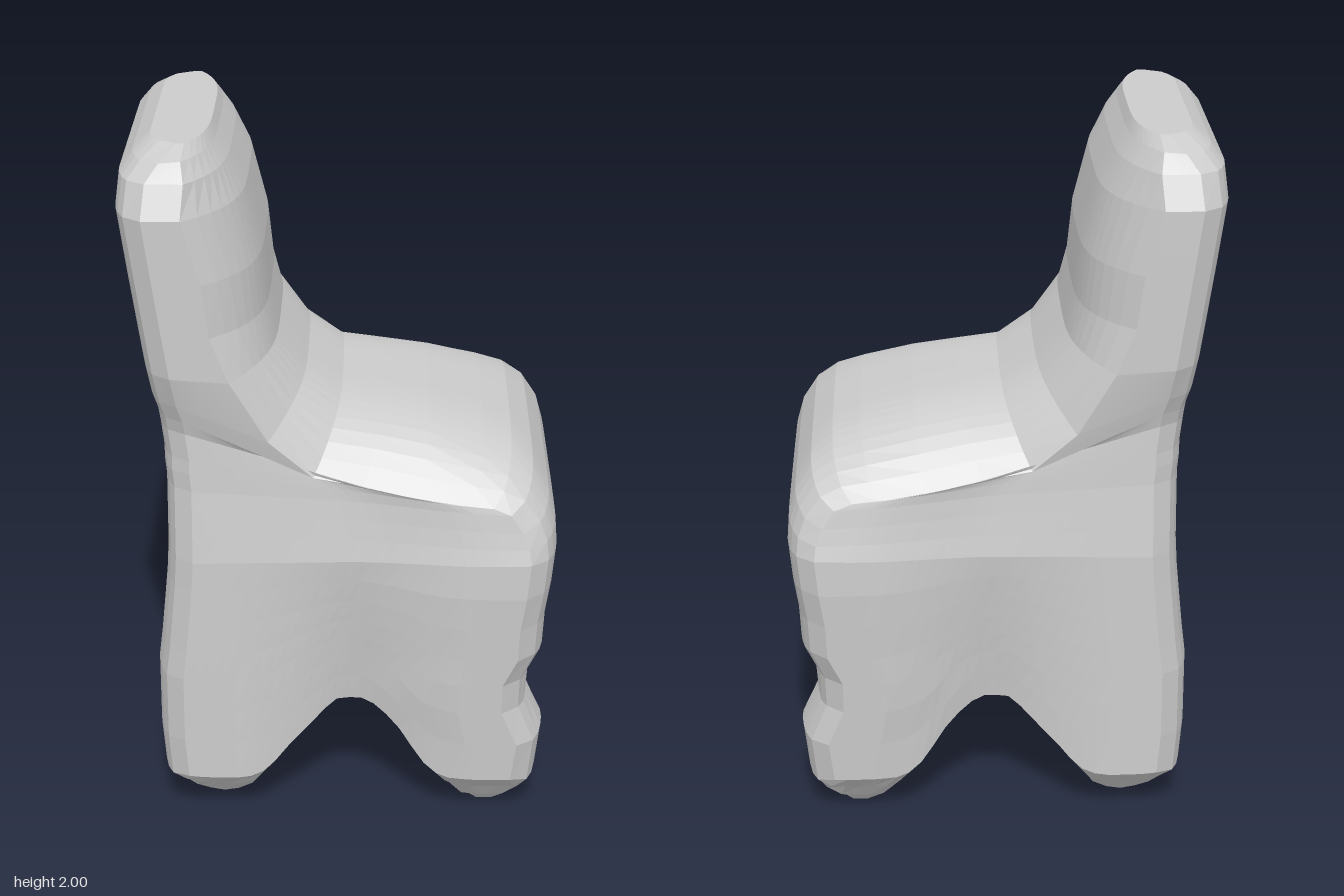
import * as THREE from 'three';

// Linear lookup in a list of [position, value] pairs
function lookup(table, t) {
  if (t <= table[0][0]) return table[0][1];
  for (let i = 1; i < table.length; i++) {
    const [a, va] = table[i - 1], [b, vb] = table[i];
    if (t <= b) return va + (vb - va) * (t - a) / (b - a);
  }
  return table[table.length - 1][1];
}

// Underside height along x (side arch) and along |z| (front and rear arches)
const sideArch = [[-0.53, 0.14], [-0.43, 0.06], [-0.35, 0.03], [-0.27, 0.05], [-0.15, 0.22], [-0.02, 0.36],
  [0.08, 0.36], [0.15, 0.3], [0.25, 0.14], [0.35, 0.03], [0.39, 0], [0.44, 0], [0.5, 0.04], [0.58, 0.14]];
const frontArch = [[0, 0.48], [0.08, 0.47], [0.15, 0.4], [0.28, 0.13], [0.35, 0], [0.4, 0], [0.5, 0.13]];
const rearArch = [[0, 0.3], [0.12, 0.2], [0.3, 0.04], [0.35, 0], [0.4, 0], [0.5, 0.13]];

// Side profile from feet to top: rear x, rear y, front x, front y
const profile = [
  [-0.52, 0, 0.57, 0], [-0.53, 0.14, 0.585, 0.14], [-0.53, 0.27, 0.585, 0.27],
  [-0.53, 0.38, 0.58, 0.38], [-0.52, 0.48, 0.58, 0.48], [-0.51, 0.6, 0.585, 0.6],
  [-0.5, 0.72, 0.6, 0.72], [-0.495, 0.82, 0.61, 0.84], [-0.495, 0.9, 0.605, 0.92],
  [-0.495, 0.97, 0.585, 1], [-0.495, 1.03, 0.54, 1.08], [-0.5, 1.08, 0.48, 1.13],
  [-0.5, 1.12, 0.4, 1.16], [-0.505, 1.16, 0.25, 1.2], [-0.51, 1.2, 0.12, 1.22],
  [-0.515, 1.24, 0, 1.235], [-0.53, 1.29, -0.1, 1.3], [-0.545, 1.38, -0.18, 1.4],
  [-0.56, 1.48, -0.205, 1.5], [-0.585, 1.65, -0.22, 1.65], [-0.61, 1.83, -0.265, 1.83],
  [-0.6, 1.92, -0.31, 1.92], [-0.565, 1.965, -0.345, 1.97], [-0.52, 2, -0.36, 2],
];

// By height: half width, extra width at the seat front, front corner inset and sag
const halfWidth = [[0, 0.505], [0.82, 0.5], [1.03, 0.475], [1.2, 0.465], [1.38, 0.51], [1.83, 0.51],
  [1.92, 0.47], [1.965, 0.43], [2, 0.36]];
const bulge = [[0, 0], [0.72, 0.045], [1.12, 0.035], [1.24, 0]];
const cornerInset = [[0.97, 0.08], [1.16, 0.04], [1.29, 0.1], [1.48, 0.15], [1.83, 0.16], [2, 0.06]];
const cornerSag = [[0.82, 0], [1.03, 0.1], [1.16, 0.18], [1.24, 0.16], [1.38, 0.03], [1.48, 0]];

const LEG_TOP = 0.82; // below this height the rows bend around the leg arches
const { lerp, smoothstep } = THREE.MathUtils;

function shapePoint(p) {
  const [xr, yr, xf, yf] = profile[Math.round((p.y + 1) / 2 * (profile.length - 1))];
  const u = (p.x + 1) / 2;
  const k = Math.abs(p.z);
  let z = p.z * (lookup(halfWidth, yr) + lookup(bulge, yr) * smoothstep(u, 0.45, 0.9));

  // Rounded vertical corners; the backrest and seat are softer at the front
  const e = Math.max(0, (k - 0.65) / 0.35);
  const round = 1 - Math.sqrt(Math.max(0, 1 - e * e));
  const soft = lerp(round, k ** 4, smoothstep(yr, 0.95, 1.3));
  // Hollows between the front legs, the rear legs and on the sides
  const low = Math.max(0, 1 - yr / LEG_TOP);
  const gap = low * Math.max(0, 1 - Math.abs(z) / 0.32);
  let x = lerp(xr + 0.08 * round + 0.06 * gap, xf - lookup(cornerInset, yr) * soft - 0.16 * gap, u);
  let y = lerp(yr, yf - lookup(cornerSag, yr) * k ** 4, u);
  z *= 1 - 0.15 * low * Math.max(0, 1 - Math.abs(x - 0.04) / 0.32);

  // Four stubby legs left over by crossing arches
  if (y < LEG_TOP) {
    const across = lerp(lookup(rearArch, Math.abs(z)), lookup(frontArch, Math.abs(z)),
      smoothstep(x, -0.45, 0.25));
    const floor = Math.cbrt(lookup(sideArch, x) ** 3 + across ** 3);
    y = floor + (y / LEG_TOP) * (LEG_TOP - floor);
    // Small dent above the front feet
    x -= 0.07 * u ** 4 * Math.max(0, 1 - Math.abs(y - 0.4) / 0.12);
  }
  p.set(x, y, z);
}

export function createModel() {
  const group = new THREE.Group();
  group.name = 'chair';

  // Seat, backrest and legs form one soft continuous body
  const geometry = new THREE.BoxGeometry(2, 2, 2, 26, profile.length - 1, 26);
  const position = geometry.attributes.position;
  const p = new THREE.Vector3();
  for (let i = 0; i < position.count; i++) {
    p.fromBufferAttribute(position, i);
    shapePoint(p);
    position.setXYZ(i, p.x, p.y, p.z);
  }
  geometry.computeVertexNormals();

  const material = new THREE.MeshStandardMaterial({ color: 0xcccccc, flatShading: true });
  const body = new THREE.Mesh(geometry, material);
  body.name = 'chairBody';
  group.add(body);
  return group;
}
